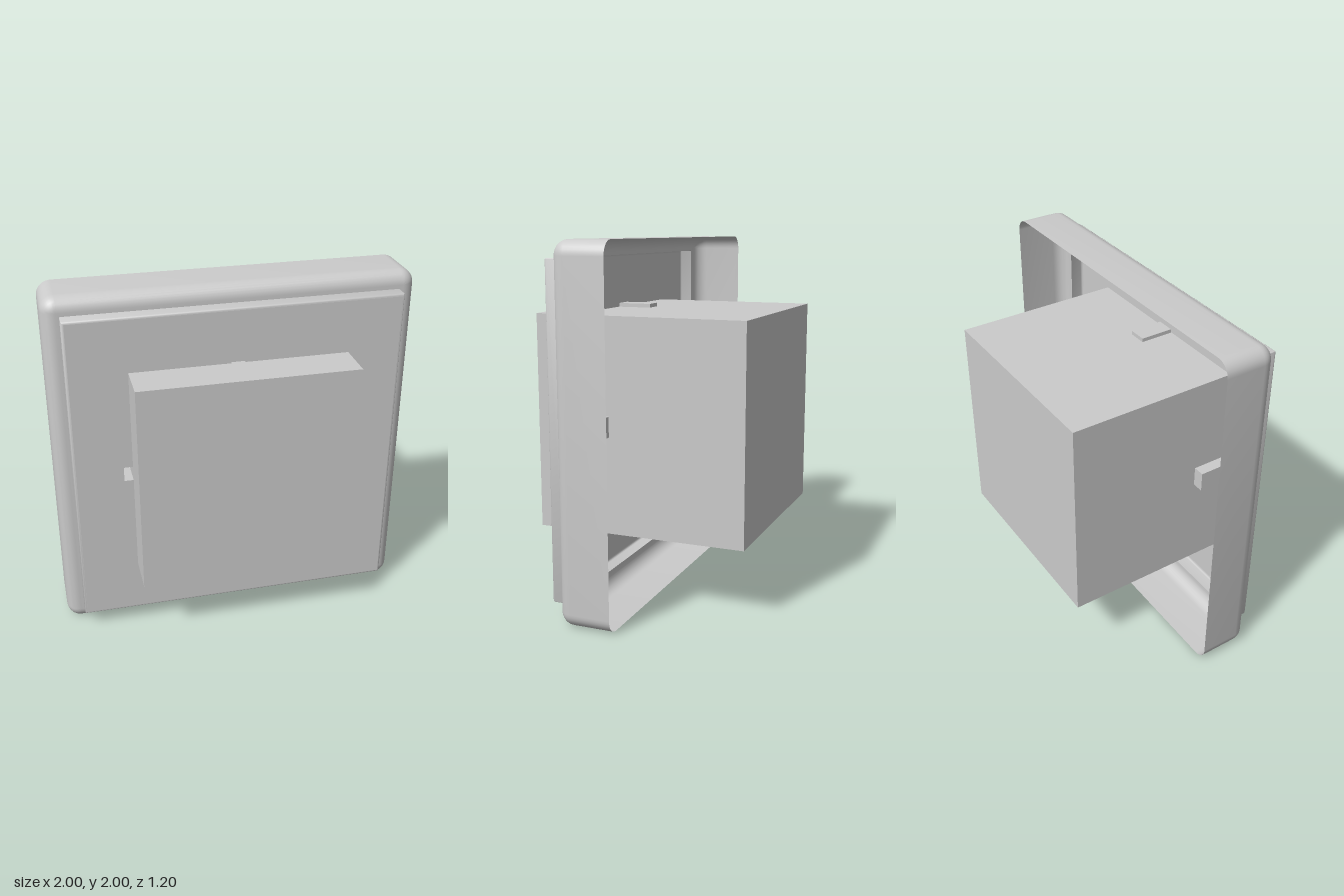
import * as THREE from 'three';
import { toCreasedNormals } from 'three/addons/utils/BufferGeometryUtils.js';

const material = new THREE.MeshStandardMaterial({ color: 0xcccccc });
const thin = new THREE.MeshStandardMaterial({ color: 0xcccccc, side: THREE.DoubleSide });

// Outline of a rounded square, counter-clockwise seen from the front
function outline(half, radius, steps = 8) {
  const points = [];
  for (let corner = 0; corner < 4; corner++) {
    const start = corner * Math.PI / 2;
    const sx = corner === 0 || corner === 3 ? 1 : -1;
    const sy = corner < 2 ? 1 : -1;
    for (let i = 0; i <= steps; i++) {
      const a = start + (i / steps) * Math.PI / 2;
      points.push(new THREE.Vector2(
        sx * (half - radius) + radius * Math.cos(a),
        sy * (half - radius) + radius * Math.sin(a)));
    }
  }
  return points;
}

// Skin through rounded squares given as [half, radius, z], back to front
function loft(sections) {
  const positions = [], index = [];
  let n = 0;
  sections.forEach(([half, radius, z], s) => {
    const ring = outline(half, radius);
    n = ring.length;
    ring.forEach(p => positions.push(p.x, p.y, z));
    if (s === 0) return;
    for (let i = 0; i < n; i++) {
      const a = (s - 1) * n + i, b = (s - 1) * n + (i + 1) % n;
      index.push(a, b, b + n, a, b + n, a + n);
    }
  });
  const geometry = new THREE.BufferGeometry();
  geometry.setAttribute('position', new THREE.Float32BufferAttribute(positions, 3));
  geometry.setIndex(index);
  return toCreasedNormals(geometry, 0.6);
}

function rectPath(PathType, [x0, y0, x1, y1]) {
  return new PathType([[x0, y0], [x1, y0], [x1, y1], [x0, y1]].map(p => new THREE.Vector2(...p)));
}

export function createModel() {
  const group = new THREE.Group();
  const add = (name, geometry, mat = material) => {
    const mesh = new THREE.Mesh(geometry, mat);
    mesh.name = name;
    group.add(mesh);
    return mesh;
  };

  // Open-backed frame: straight walls, rounded front edge, raised panel step
  const sections = [[1, 0.08, -0.01]];
  const fillet = 0.075;
  for (let i = 0; i <= 8; i++) {
    const a = (i / 8) * Math.PI / 2;
    const inset = fillet * (1 - Math.cos(a));
    sections.push([1 - inset, Math.max(0.08 - inset, 0.005), 0.29 - fillet * (1 - Math.sin(a))]);
  }
  sections.push([0.905, 0.004, 0.29], [0.905, 0.004, 0.357]);
  for (let i = 1; i <= 4; i++) {
    const a = (i / 4) * Math.PI / 2;
    sections.push([0.892 + 0.013 * Math.cos(a), 0.004, 0.357 + 0.013 * Math.sin(a)]);
  }
  add('frameShell', loft(sections), thin).position.y = 1;

  // Front panel with four slots beside the block, relative to the frame centre
  const slots = [
    ['left', [0.56, -0.04, 0.62, 0.045]],
    ['right', [-0.635, -0.04, -0.56, 0.045]],
    ['top', [-0.04, 0.56, 0.035, 0.607]],
    ['bottom', [-0.04, -0.602, 0.035, -0.56]],
  ];
  const panel = new THREE.Shape(outline(0.892, 0.004));
  slots.forEach(([, r]) => panel.holes.push(rectPath(THREE.Path, r)));
  const face = add('frontPanel', new THREE.ShapeGeometry(panel), thin);
  face.position.set(0, 1, 0.37);

  // Pockets behind the slots, closed at the back
  const wall = 0.015;
  slots.forEach(([side, r]) => {
    const [x0, y0, x1, y1] = r;
    const outer = [x0 - wall, y0 - wall, x1 + wall, y1 + wall];
    const sleeve = rectPath(THREE.Shape, outer);
    sleeve.holes.push(rectPath(THREE.Path, r));
    add(side + 'Pocket', new THREE.ExtrudeGeometry(sleeve, { depth: 0.18, bevelEnabled: false }))
      .position.set(0, 1, 0.187);
    add(side + 'PocketBack', new THREE.BoxGeometry(outer[2] - outer[0], outer[3] - outer[1], 0.015))
      .position.set((x0 + x1) / 2, 1 + (y0 + y1) / 2, 0.18);
  });

  // Block passing through the panel
  add('block', new THREE.BoxGeometry(1.19, 1.195, 1.195)).position.set(0.01, 1.003, 0);

  return group;
}
